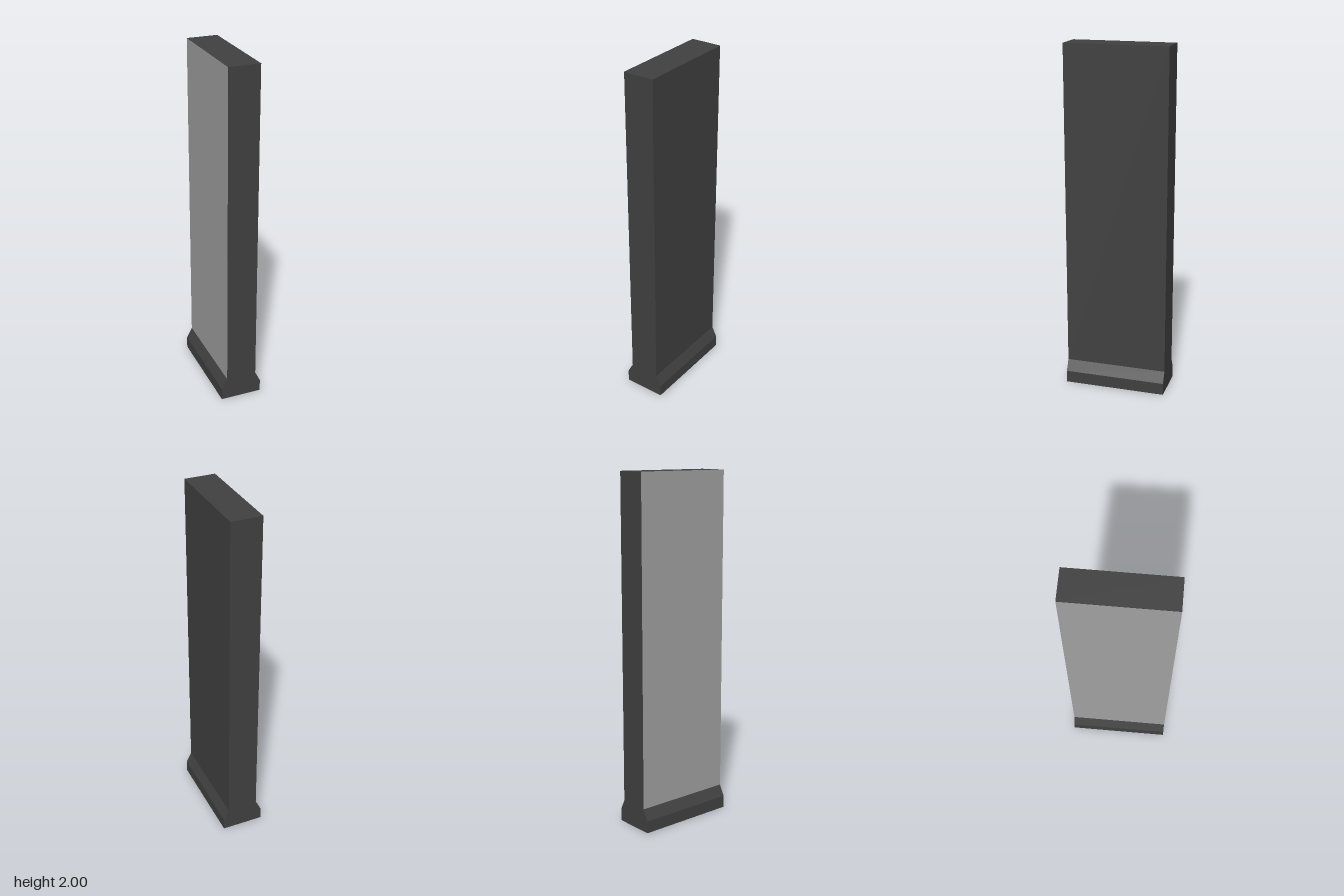
import * as THREE from 'three';

const DEPTH = 0.59;
const WALL_LEFT = 0.09, WALL_RIGHT = -0.087;
const BASE = 0.121, BASE_TOP = 0.07, SLOPE_TOP = 0.133, HEIGHT = 2;

export function createModel() {
  const model = new THREE.Group();
  model.name = 'wallSection';

  // Upright wall with a flared skirting, one profile run along z
  const profile = new THREE.Shape([
    [-BASE, 0], [BASE, 0], [BASE, BASE_TOP], [WALL_LEFT, SLOPE_TOP],
    [WALL_LEFT, HEIGHT], [WALL_RIGHT, HEIGHT], [WALL_RIGHT, SLOPE_TOP], [-BASE, BASE_TOP],
  ].map(([x, y]) => new THREE.Vector2(x, y)));
  const bodyGeometry = new THREE.ExtrudeGeometry(profile, { depth: DEPTH, bevelEnabled: false });
  bodyGeometry.translate(0, 0, -DEPTH / 2);
  const body = new THREE.Mesh(bodyGeometry, new THREE.MeshStandardMaterial({ color: 0x404040 }));
  body.name = 'wallAndSkirting';
  model.add(body);

  // Lighter facing on the right side, above the skirting
  const facing = new THREE.Mesh(
    new THREE.PlaneGeometry(DEPTH, HEIGHT - SLOPE_TOP),
    new THREE.MeshStandardMaterial({ color: 0xa0a0a0 }),
  );
  facing.name = 'wallFacing';
  facing.rotation.y = -Math.PI / 2;
  facing.position.set(WALL_RIGHT - 0.001, (HEIGHT + SLOPE_TOP) / 2, 0);
  model.add(facing);

  return model;
}
